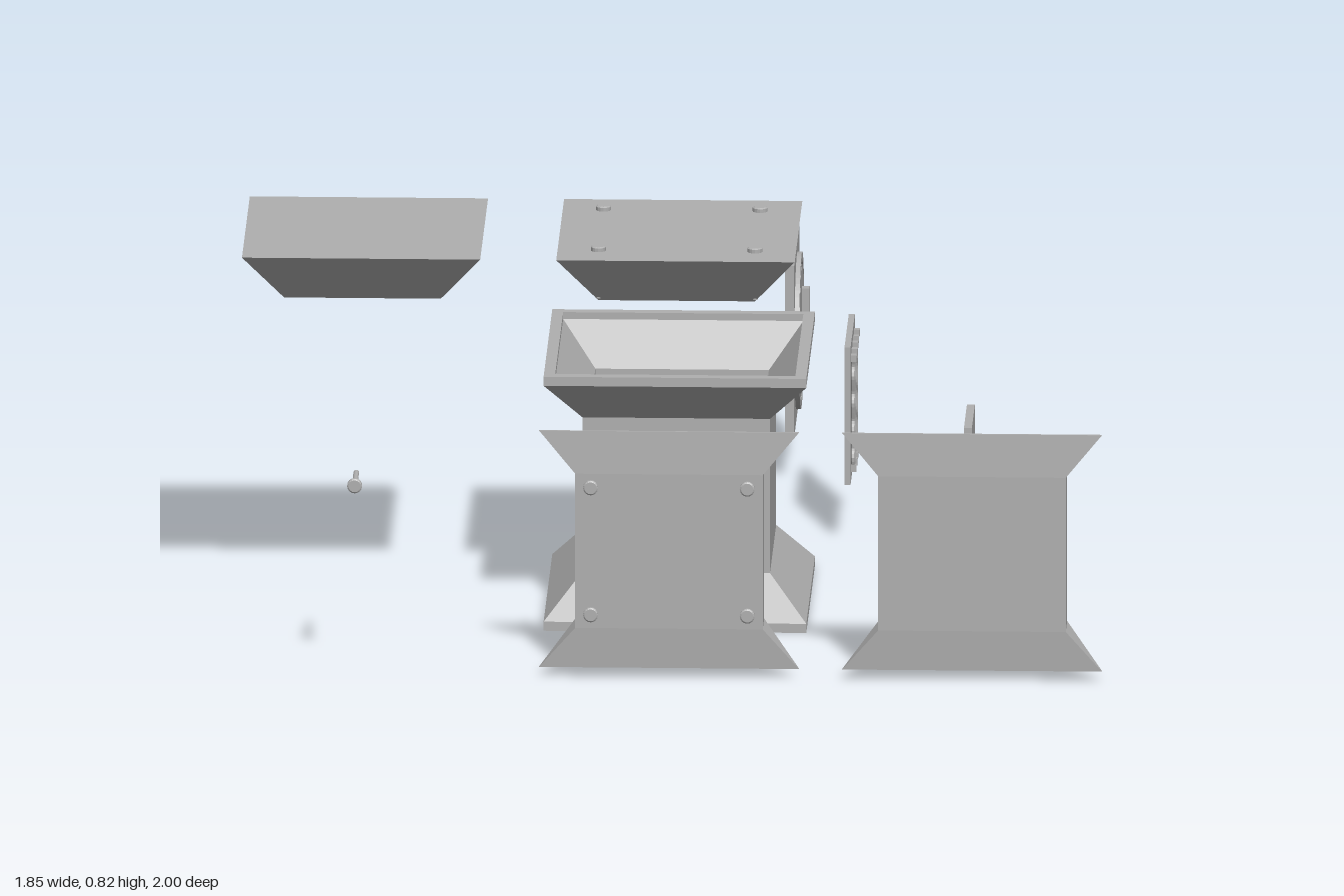
import * as THREE from 'three';

const grey = new THREE.MeshStandardMaterial({ color: 0xb0b0b0, flatShading: true });
grey.name = 'plain grey';

function part(parent, name, geometry, x = 0, y = 0, z = 0) {
  const mesh = new THREE.Mesh(geometry, grey);
  mesh.name = name;
  mesh.position.set(x, y, z);
  parent.add(mesh);
  return mesh;
}

function group(parent, name, x = 0, y = 0, z = 0) {
  const g = new THREE.Group();
  g.name = name;
  g.position.set(x, y, z);
  parent.add(g);
  return g;
}

const box = (w, h, d) => new THREE.BoxGeometry(w, h, d);

// Turned profile of [halfWidth, height] pairs
function turned(profile, sides) {
  return new THREE.LatheGeometry(profile.map(([r, y]) => new THREE.Vector2(r, y)), sides);
}

// The same with a square plan
function square(profile) {
  const k = Math.SQRT2;
  return turned(profile.map(([r, y]) => [r * k, y]), 4).rotateY(Math.PI / 4);
}

// Solid between two rectangles, each [y, halfWidth, backZ, frontZ]
function taperedBlock(low, high) {
  const corners = ([y, h, b, f]) => [[-h, y, f], [h, y, f], [h, y, b], [-h, y, b]];
  const a = corners(low), b = corners(high), pos = [];
  const quad = (p, q, r, s) => pos.push(...p, ...q, ...r, ...p, ...r, ...s);
  for (let i = 0; i < 4; i++) {
    const j = (i + 1) % 4;
    quad(a[i], a[j], b[j], b[i]);
  }
  quad(...b);
  quad(a[3], a[2], a[1], a[0]);
  const g = new THREE.BufferGeometry();
  g.setAttribute('position', new THREE.Float32BufferAttribute(pos, 3));
  g.computeVertexNormals();
  return g;
}

// Screw pointing down, top of its head at the origin
function screw(parent, x, y, z, forward = false) {
  const profile = [[0, -0.115], [0.006, -0.115], [0.006, -0.01], [0.016, -0.01], [0.016, -0.002], [0.013, 0], [0, 0]];
  const m = part(parent, 'screw', turned(profile, 16), x, y, z);
  if (forward) m.rotation.x = Math.PI / 2;
}

function lid(parent, x, withScrews) {
  const g = group(parent, 'lid', x, 0, 0.325);
  part(g, 'lidShell', square([[0, 0.77], [0.12, 0.77], [0.12, 0.7], [0.167, 0.7], [0.254, 0.81], [0, 0.81]]));
  if (withScrews) for (const sx of [-1, 1]) for (const sz of [-1, 1]) screw(g, sx * 0.167, 0.82, sz * 0.168);
}

// Side cover: open-backed box with a wedge above and below
function cover(parent, x, withScrews) {
  const g = group(parent, 'sideCover', x);
  const back = 0.9, front = 0.992;
  part(g, 'coverFace', box(0.4, 0.34, 0.015), 0, 0.28, front - 0.0075);
  for (const s of [-1, 1]) part(g, 'coverWall', box(0.02, 0.34, front - back), s * 0.19, 0.28, (back + front) / 2);
  const inner = [0.2, back, front], outer = [0.277, 0.982, 0.987];
  part(g, 'upperFlare', taperedBlock([0.45, ...inner], [0.543, ...outer]));
  part(g, 'lowerFlare', taperedBlock([0.022, ...outer], [0.11, ...inner]));
  if (withScrews) for (const s of [-1, 1]) for (const y of [0.14, 0.42]) screw(g, s * 0.167, y, 1, true);
}

function keypad(parent) {
  const g = group(parent, 'keypad');
  part(g, 'keypadPlate', box(0.017, 0.247, 0.196), 0.6185, 0.283, 0.326);
  for (let c = 0; c < 4; c++) for (let r = 0; r < 3; r++) {
    part(g, 'key', box(0.01, 0.03, 0.03), 0.631, 0.218 + r * 0.04, 0.264 + c * 0.042);
  }
}

function wireBoard(parent) {
  const g = group(parent, 'wireBoard');
  part(g, 'boardPlate', box(0.013, 0.303, 0.278), 0.3435, 0.282, -0.273);
  for (let i = 0; i < 5; i++) {
    const z = -0.155 - i * 0.053;
    for (const y of [0.163, 0.405]) part(g, 'wirePin', box(0.014, 0.015, 0.015), 0.355, y, z);
    if (i === 4) continue;
    // Kinked wire between its two pins
    const points = [];
    for (let k = 0; k <= 12; k++) {
      const bend = k % 12 ? 0.005 * Math.sin(k * 2.1 + i * 1.7) : 0;
      points.push(new THREE.Vector3(0.355, 0.165 + k * 0.02, z + bend));
    }
    part(g, 'wire', new THREE.TubeGeometry(new THREE.CatmullRomCurve3(points), 36, 0.0045, 6));
  }
}

function dial(parent) {
  const g = group(parent, 'dial', 0.193, 0.287, -0.823);
  part(g, 'dialPlate', box(0.02, 0.378, 0.355), 0.01, 0, 0);
  const disc = part(g, 'dialDisc', turned([[0.168, 0], [0.168, 0.01], [0.149, 0.01], [0.149, 0.001],
    [0.141, 0.001], [0.141, 0.01], [0, 0.01]], 64), 0.02);
  disc.rotation.z = -Math.PI / 2;
  const hub = part(g, 'dialHub', new THREE.CylinderGeometry(0.034, 0.034, 0.018, 32), 0.038);
  hub.rotation.z = -Math.PI / 2;
  part(g, 'dialHandle', box(0.016, 0.1, 0.02), 0.039, 0.045, 0);
  const pointer = part(g, 'dialPointer', box(0.01, 0.035, 0.02), 0.035, -0.037, 0.034);
  pointer.rotation.x = -0.735;
}

export function createModel() {
  const model = new THREE.Group();
  model.name = 'explodedLockBox';
  // Hollow waisted body, open at the top and recessed underneath
  part(model, 'body', square([[0, 0.1], [0.175, 0.1], [0.255, 0.005], [0.255, 0], [0.28, 0], [0.28, 0.02],
    [0.2, 0.11], [0.2, 0.45], [0.28, 0.54], [0.28, 0.56], [0.256, 0.56], [0.256, 0.545],
    [0.185, 0.455], [0.185, 0.12], [0, 0.12]]), 0, 0, 0.325);
  lid(model, 0, true);
  lid(model, -0.67, false);
  cover(model, 0, true);
  cover(model, 0.646, false);
  screw(model, -0.67, 0.42, 1, true);
  keypad(model);
  wireBoard(model);
  dial(model);
  return model;
}
